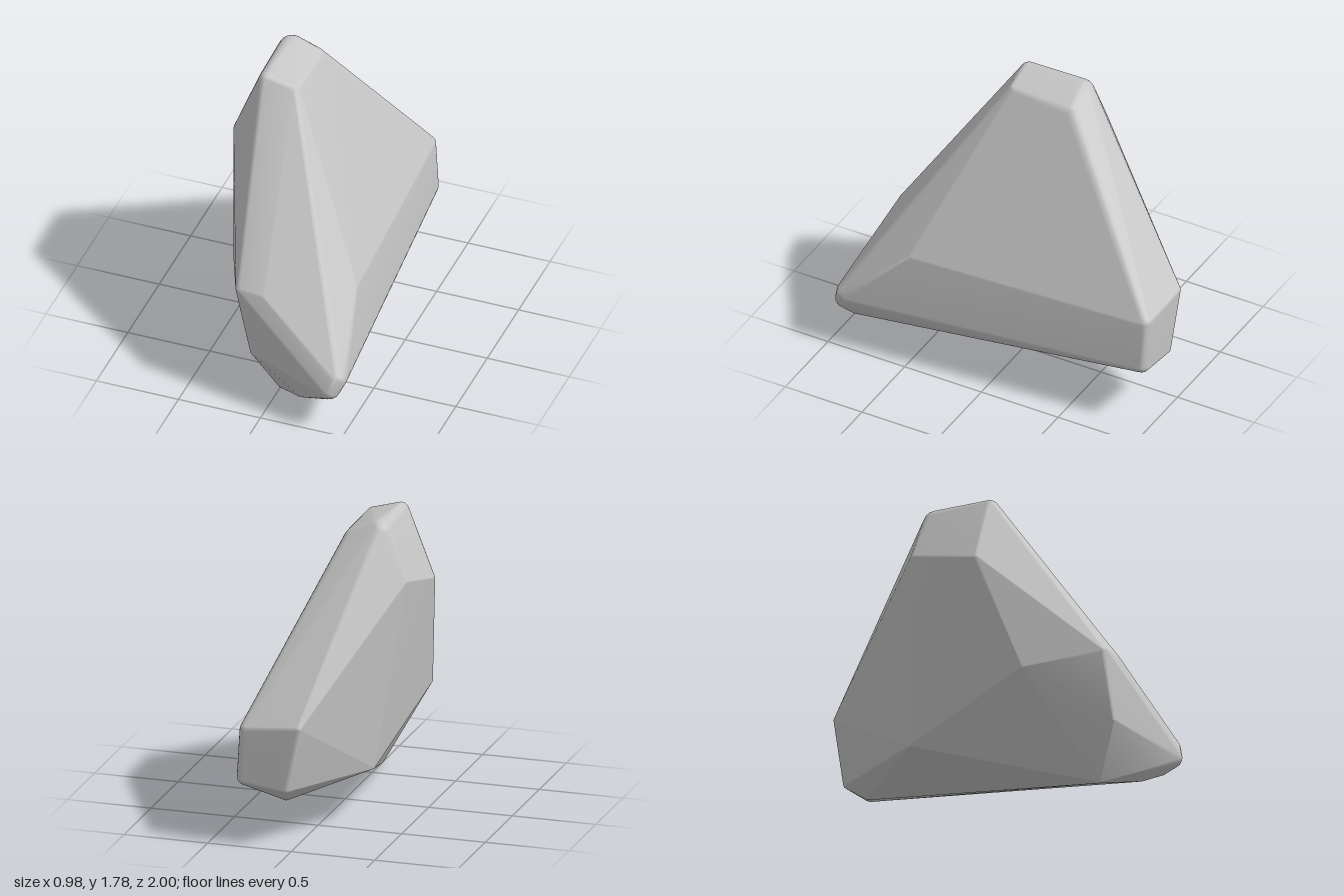
import * as THREE from 'three';
import { ConvexGeometry } from 'three/addons/geometries/ConvexGeometry.js';
import { mergeVertices } from 'three/addons/utils/BufferGeometryUtils.js';

// Rounded rock corners: centre x, y, z and rounding radius
const CORNERS = [
  // top cap
  [-0.29, 1.72, 0.13, 0.05], [-0.275, 1.70, -0.22, 0.08],
  [-0.13, 1.68, 0.13, 0.045], [-0.14, 1.65, -0.235, 0.07],
  // left shoulder below the cap
  [-0.46, 1.33, 0.13, 0.035], [-0.43, 1.43, -0.27, 0.035],
  // front ridge, running down to the foot
  [-0.19, 0.72, 0.79, 0.04], [-0.05, 0.72, 0.81, 0.03], [-0.11, 0.32, 0.82, 0.02],
  // front foot
  [0.42, 0.335, 0.91, 0.07], [0.40, 0.27, 0.94, 0.06], [0.37, 0.19, 0.89, 0.03],
  [0.20, 0.13, 0.88, 0.01], [0.25, 0.095, 0.82, 0.01], [0, 0.01, 0.68, 0.01],
  // left flank and underside
  [-0.385, 0.63, 0.385, 0.015], [-0.29, 0.34, -0.38, 0.01],
  // right flank
  [0.38, 0.70, 0.52, 0.03],
  // back end
  [-0.03, 0.73, -0.97, 0.03], [0.28, 0.69, -0.94, 0.045],
  [0.295, 0.40, -0.93, 0.05], [0.05, 0.36, -0.95, 0.03], [0.08, 0.27, -0.84, 0.02],
];

export function createModel() {
  const stone = new THREE.MeshStandardMaterial({ color: 0xc6c6c6 });
  stone.name = 'stoneGrey';

  // Unique points of a small ball
  let ball = new THREE.IcosahedronGeometry(1, 2);
  ball.deleteAttribute('normal');
  ball.deleteAttribute('uv');
  ball = mergeVertices(ball, 1e-4);

  // Wrap a hull around a small ball at every corner
  const points = [];
  for (const [x, y, z, r] of CORNERS) {
    const middle = new THREE.Vector3(x, y, z);
    for (let i = 0; i < ball.attributes.position.count; i++) {
      points.push(new THREE.Vector3()
        .fromBufferAttribute(ball.attributes.position, i).multiplyScalar(r).add(middle));
    }
  }
  let hull = new ConvexGeometry(points);

  // Shared, area-weighted normals keep facets flat and edges soft
  hull.deleteAttribute('normal');
  hull = mergeVertices(hull, 1e-5);
  hull.computeVertexNormals();

  const rock = new THREE.Mesh(hull, stone);
  rock.name = 'rock';
  const group = new THREE.Group();
  group.name = 'boulder';
  group.add(rock);
  return group;
}
